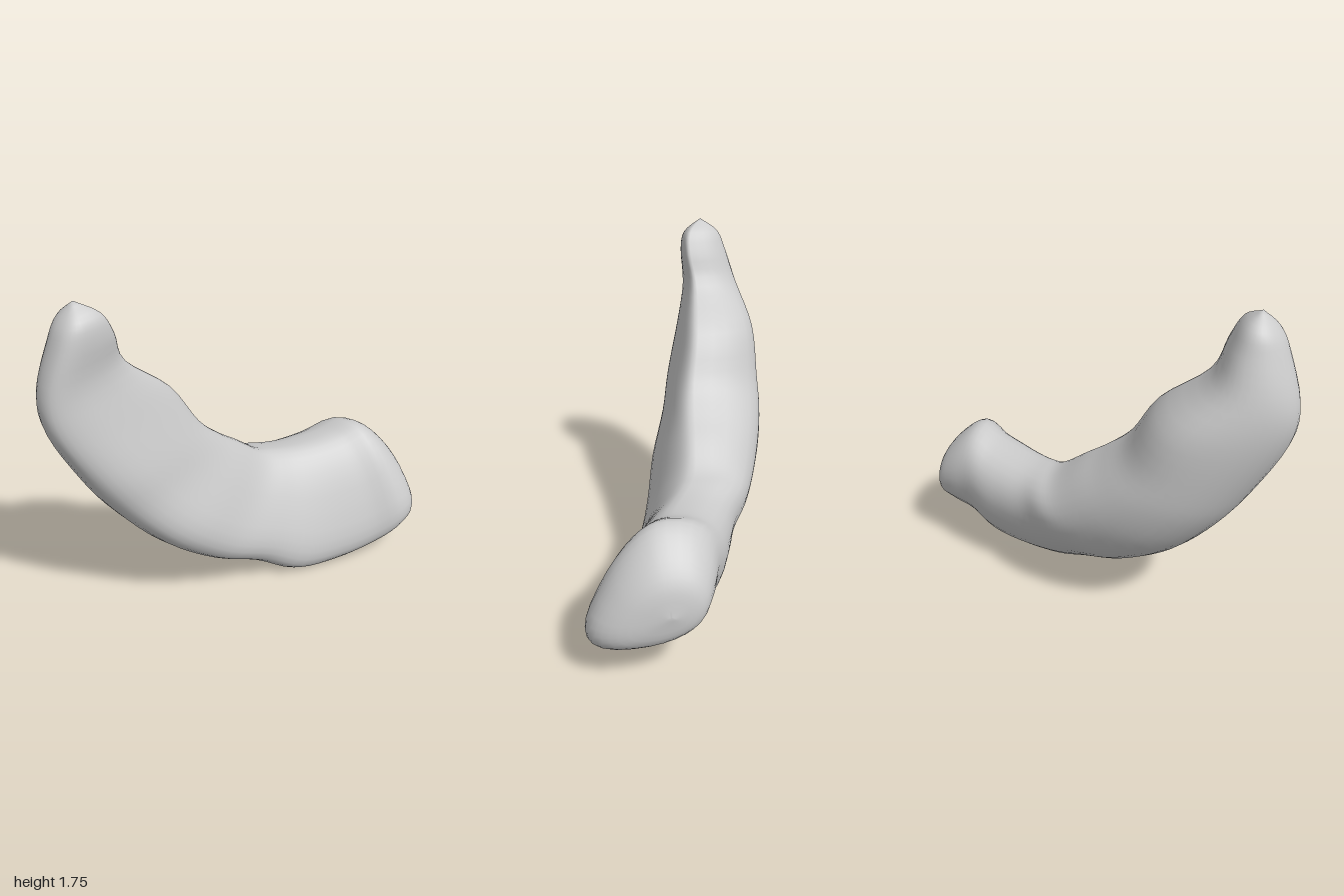
import * as THREE from 'three';
import { mergeVertices } from 'three/addons/utils/BufferGeometryUtils.js';

// Cross-sections from the thin upper tip to the blunt lower end:
// inner x, y, outer x, y, then z of inner front, inner back, outer front, outer back
const SECTIONS = [
  [-0.80, 1.75, -0.80, 1.75, -0.26, -0.26, -0.26, -0.26],
  [-0.71, 1.69, -0.88, 1.67, -0.16, -0.36, -0.18, -0.35],
  [-0.65, 1.58, -0.93, 1.57, -0.14, -0.41, -0.16, -0.39],
  [-0.58, 1.42, -1.00, 1.34, -0.15, -0.49, -0.18, -0.43],
  [-0.34, 1.22, -0.98, 1.14, -0.09, -0.57, -0.14, -0.46],
  [-0.20, 1.00, -0.84, 0.86, -0.03, -0.57, -0.05, -0.48],
  [-0.07, 0.88, -0.70, 0.65, 0.00, -0.55, 0.01, -0.49],
  [0.06, 0.79, -0.50, 0.42, 0.02, -0.51, 0.12, -0.45],
  [0.20, 0.69, -0.25, 0.24, 0.05, -0.46, 0.19, -0.34],
  [0.30, 0.665, 0.00, 0.13, 0.10, -0.41, 0.26, -0.23],
  [0.40, 0.66, 0.20, 0.02, 0.16, -0.34, 0.36, -0.12],
  [0.52, 0.67, 0.44, 0.00, 0.23, -0.28, 0.46, -0.07],
  [0.63, 0.69, 0.63, 0.03, 0.28, -0.22, 0.55, -0.04],
  [0.75, 0.73, 0.77, 0.11, 0.33, -0.14, 0.64, -0.01],
  [0.87, 0.65, 0.90, 0.17, 0.33, -0.08, 0.62, 0.02],
  [0.965, 0.53, 0.98, 0.24, 0.29, 0.00, 0.47, 0.06],
  [1.00, 0.39, 1.00, 0.37, 0.20, 0.16, 0.20, 0.16],
];

// Smooth guide curve along one corner of the sections
function rail(xi, zi) {
  const points = SECTIONS.map((s) => new THREE.Vector3(s[xi], s[xi + 1], s[zi]));
  return new THREE.CatmullRomCurve3(points, false, 'catmullrom', 0.5);
}

// Loft a D-shaped outline (flattish front, round back) between the guide curves
function createBodyGeometry(rings, sides) {
  const rails = [rail(0, 4), rail(0, 5), rail(2, 6), rail(2, 7)];
  const round = (v, power) => Math.sign(v) * Math.abs(v) ** power;
  const positions = [];
  const indices = [];
  for (let i = 0; i <= rings; i++) {
    const u = i / rings;
    const [inFront, inBack, outFront, outBack] = rails.map((r) => r.getPoint(u));
    // the inner ridge lies far forward at the tip and drifts back at the end
    const innerRidge = THREE.MathUtils.lerp(0.85, 0.55, u * u);
    for (let j = 0; j < sides; j++) {
      const a = (j / sides) * Math.PI * 2;
      const power = Math.sin(a) > 0 ? 0.8 : 0.95;
      const s = (round(Math.cos(a), power) + 1) / 2;
      const h = round(Math.sin(a), power);
      const ridge = THREE.MathUtils.lerp(0.6, innerRidge, s);
      const t = ridge + h * (h > 0 ? 1 - ridge : ridge);
      const inner = inBack.clone().lerp(inFront, t);
      const p = outBack.clone().lerp(outFront, t).lerp(inner, s);
      positions.push(p.x, Math.max(p.y, 0), p.z);
      if (i < rings) {
        const a0 = i * sides + j;
        const b0 = i * sides + ((j + 1) % sides);
        indices.push(a0, b0, a0 + sides, b0, b0 + sides, a0 + sides);
      }
    }
  }
  // close the blunt end with a fan
  const last = rings * sides;
  for (let j = 1; j < sides - 1; j++) indices.push(last, last + j, last + j + 1);

  const geometry = new THREE.BufferGeometry();
  geometry.setAttribute('position', new THREE.Float32BufferAttribute(positions, 3));
  geometry.setIndex(indices);
  const merged = mergeVertices(geometry, 1e-5);
  merged.computeVertexNormals();
  return merged;
}

export function createModel() {
  const group = new THREE.Group();
  group.name = 'curvedOrgan';
  const material = new THREE.MeshStandardMaterial({ color: 0xcccccc });
  const body = new THREE.Mesh(createBodyGeometry(64, 32), material);
  body.name = 'body';
  group.add(body);
  return group;
}
